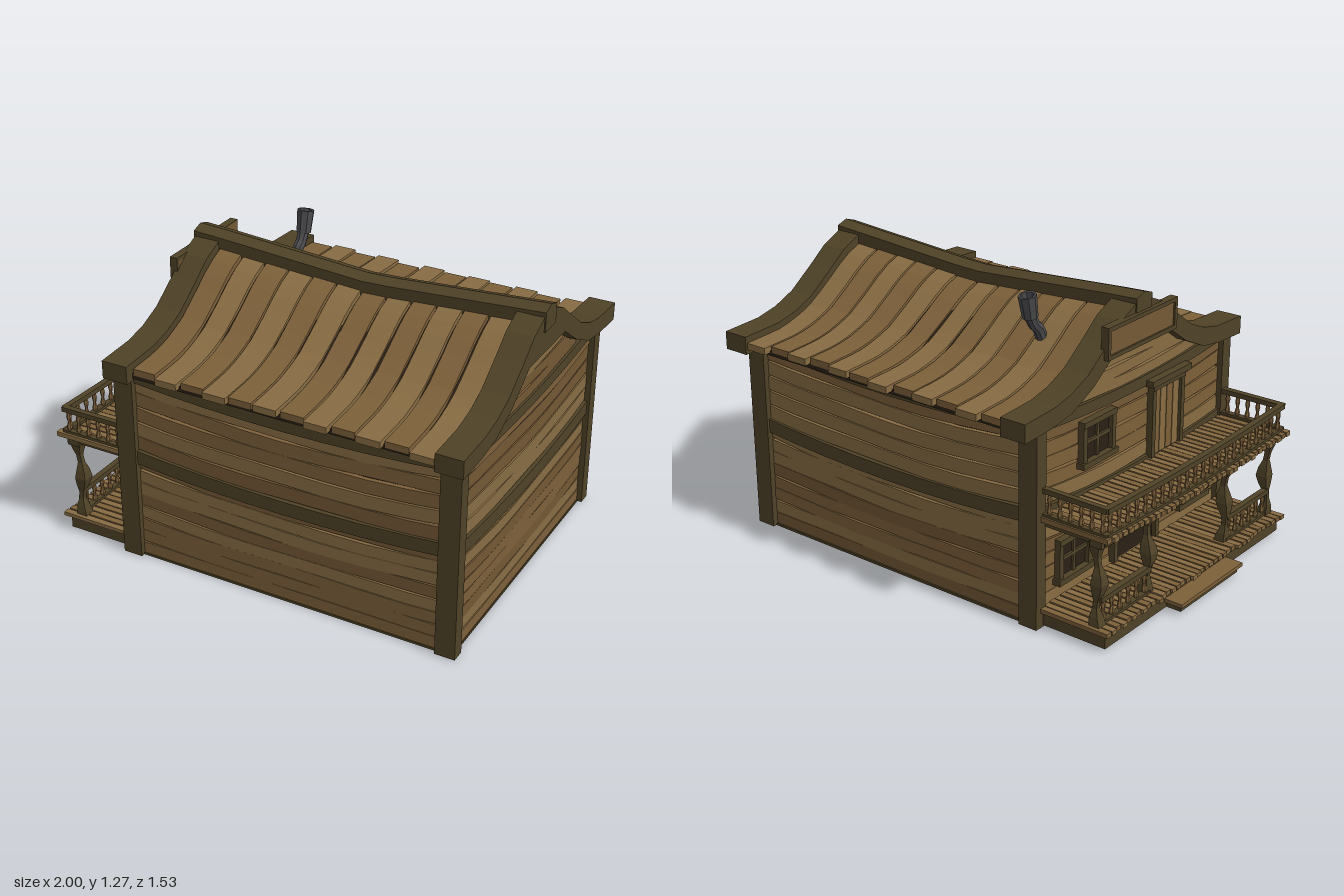
import * as THREE from 'three';

const mat = (color, side = THREE.FrontSide) => new THREE.MeshStandardMaterial({ color, flatShading: true, side });
const PLANKS = [mat(0x7d603a), mat(0x886c43), mat(0x745835)];
const BEAM = mat(0x4f4227), DARK = mat(0x2a2116), IRON = mat(0x4a4a4e, THREE.DoubleSide);

let seed = 7;
const rnd = () => ((seed = (seed * 16807) % 2147483647) / 2147483647);
const jitter = (a) => (rnd() - 0.5) * 2 * a;
const woods = () => PLANKS[Math.floor(rnd() * 2.5)];

// House extents
const X0 = -0.61, X1 = 0.97, Z0 = -0.66, Z1 = 0.73, XC = 0.18, ZC = 0.035;

// Eave-to-ridge curves as [distance from ridge, height]
const ROOF_TOP = [[0.765, 0.943], [0.575, 0.952], [0.47, 0.975], [0.365, 1.02], [0.24, 1.11], [0.15, 1.18], [0.05, 1.225]];
const ROOF_UNDER = [[0.765, 0.863], [0.6, 0.87], [0.47, 0.89], [0.33, 0.955], [0.18, 1.06]];
function sample(curve, d) {
  const i = Math.max(1, curve.findIndex((p) => p[0] <= d));
  const k = d < curve[curve.length - 1][0] ? curve.length - 1 : i;
  const [a, b] = [curve[k - 1], curve[k]];
  return a[1] + (b[1] - a[1]) * Math.min(1, Math.max(0, (d - a[0]) / (b[0] - a[0])));
}
const mirrorCurve = (c) => [...c, ...c.map(([d, y]) => [-d, y]).reverse()];
const ridgeSag = (x) => 0.055 * Math.max(0, 1 - Math.abs(x - 0.21) / 0.82);

function add(parent, geo, material, name, x = 0, y = 0, z = 0) {
  const m = new THREE.Mesh(geo, material);
  m.name = name;
  m.position.set(x, y, z);
  parent.add(m);
  return m;
}
// Box given by its limits, optionally subdivided and bent by a rule
function box(parent, name, material, [x0, x1], [y0, y1], [z0, z1], seg = [1, 1, 1], bend) {
  const g = new THREE.BoxGeometry(x1 - x0, y1 - y0, z1 - z0, ...seg);
  g.translate((x0 + x1) / 2, (y0 + y1) / 2, (z0 + z1) / 2);
  if (bend) {
    const p = g.attributes.position, v = new THREE.Vector3();
    for (let i = 0; i < p.count; i++) {
      bend(v.fromBufferAttribute(p, i));
      p.setXYZ(i, v.x, v.y, v.z);
    }
    g.computeVertexNormals();
  }
  return add(parent, g, material, name);
}
// Outline in (z, y) extruded from x0 to x1
function extrudeX(parent, name, material, pts, x0, x1) {
  const s = new THREE.Shape(pts.map(([z, y]) => new THREE.Vector2(-z, y)));
  const g = new THREE.ExtrudeGeometry(s, { depth: x1 - x0, bevelEnabled: false });
  g.rotateY(Math.PI / 2);
  return add(parent, g, material, name, x0);
}

function walls(house) {
  const g = new THREE.Group();
  g.name = 'walls';
  house.add(g);
  // Dark core showing through the gaps
  extrudeX(g, 'wallCore', DARK, [[Z1 - 0.045, 0.012], [Z1 - 0.045, 0.87], [0.5, 0.9], [0.22, 1.06], [-0.22, 1.06], [-0.5, 0.9], [Z0 + 0.045, 0.87], [Z0 + 0.045, 0.012]], X0 + 0.045, X1 - 0.045);
  box(g, 'foundation', BEAM, [X0 + 0.02, X1 - 0.02], [0.003, 0.014], [Z0 + 0.02, Z1 - 0.02]);
  for (const x of [[X0, X0 + 0.09], [X1 - 0.09, X1]])
    for (const z of [[Z0, Z0 + 0.06], [Z1 - 0.06, Z1]]) box(g, 'cornerPost', BEAM, x, [0.005, 0.88], z);

  const sides = [
    { along: 'x', at: Z1 - 0.025, out: 1 }, { along: 'x', at: Z0 + 0.025, out: -1 },
    { along: 'z', at: X1 - 0.025, out: 1 }, { along: 'z', at: X0 + 0.025, out: -1 },
  ];
  for (const { along, at, out } of sides) {
    const isX = along === 'x', c = isX ? XC : ZC, half = isX ? 0.74 : 0.66;
    const strip = (name, material, y0, y1, proud, hw, wobble) => {
      const sagging = 0.035 * Math.min(1, y0 / 0.4);
      const ph = rnd() * 6, depth = [at - out * 0.025, at + out * proud].sort((a, b) => a - b);
      const len = [c - hw, c + hw];
      box(g, name, material, isX ? len : depth, [y0, y1], isX ? depth : len, isX ? [8, 1, 1] : [1, 1, 8], (v) => {
        const t = (v[along] - c) / half;
        v.y -= sagging * (1 - t * t) + (wobble ? 0.004 * Math.sin(t * 5 + ph) * Math.min(1, y0 * 8) : 0);
      });
    };
    for (let i = 0; i < 8; i++) strip('wallPlank', woods(), 0.012 + i * 0.0605, 0.067 + i * 0.0605, jitter(0.002), half, true);
    for (let i = 0; i < 5; i++) strip('wallPlank', woods(), 0.53 + i * 0.069, 0.592 + i * 0.069, jitter(0.002), half, true);
    strip('middleBeam', BEAM, 0.465, 0.527, 0.013, half, false);
    strip('topBeam', BEAM, 0.85, 0.9, 0.01, half, false);
    // Gable boards tuck behind the bargeboard
    if (!isX) for (let i = 0; i < 4; i++) {
      const y = 0.9 + i * 0.053;
      strip('gablePlank', woods(), y, y + 0.048, 0, [0.47, 0.4, 0.31, 0.25][i], true);
    }
  }
}

function roof(house) {
  const g = new THREE.Group();
  g.name = 'roof';
  house.add(g);
  // Curved bargeboards at both gables
  const outline = [...mirrorCurve(ROOF_TOP), ...mirrorCurve(ROOF_UNDER).reverse()];
  for (const [a, b] of [[-0.635, -0.515], [0.87, 0.99]]) extrudeX(g, 'bargeboard', BEAM, outline, a, b);

  // A roof layer follows the curve from ridge to eave on one side
  const layer = (name, material, x, s, reach, drop, thick, seg) =>
    box(g, name, material, x, [0, thick], [0, 1], [seg, 1, 12], (v) => {
      const d = reach * (s > 0 ? v.z : 1 - v.z);
      const y = sample(ROOF_TOP, d) - drop;
      v.set(v.x, v.y + y - ridgeSag(v.x) * Math.max(0, y - 0.9) / 0.3, s * d);
    });
  const pitch = 1.385 / 12;
  for (const s of [-1, 1]) {
    layer('roofLining', DARK, [-0.53, 0.89], s, 0.725, 0.072, 0.022, 8);
    for (let i = 0; i < 12; i++) {
      const x = -0.513 + i * pitch;
      layer('roofPlank', PLANKS[i % 2], [x + 0.004 + rnd() * 0.004, x + pitch - 0.003 - rnd() * 0.004], s,
        (i % 2 ? 0.755 : 0.735) + jitter(0.008), 0.056 + jitter(0.004), 0.03, 1);
    }
  }
  // Sagging, chamfered ridge beam
  box(g, 'ridgeBeam', BEAM, [-0.64, 0.995], [1.16, 1.265], [-0.054, 0.054], [12, 1, 2], (v) => {
    if (v.y > 1.2 && Math.abs(v.z) > 0.01) v.y -= 0.018;
    v.y -= ridgeSag(v.x);
  });
  // Bent stove pipe
  const pipe = new THREE.CatmullRomCurve3([[1.04, -0.235], [1.11, -0.265], [1.135, -0.295], [1.18, -0.318]].map(([y, z]) => new THREE.Vector3(-0.31, y, z)));
  add(g, new THREE.TubeGeometry(pipe, 6, 0.025, 8), IRON, 'stovePipe');
  const cap = [[0.02, -0.05], [0.033, -0.05], [0.039, 0.05], [0.029, 0.05], [0.024, -0.02], [0, -0.02]].map((p) => new THREE.Vector2(...p));
  add(g, new THREE.LatheGeometry(cap, 8), IRON, 'chimneyCap', -0.31, 1.22, -0.328).rotation.x = -0.2;
}

const PZ0 = -0.635, PZ1 = 0.715;
const porchSag = (z) => 0.018 * (1 - ((z - 0.04) / 0.675) ** 2);

// Railing along x or z, with turned balusters
function railing(parent, along, from, to, at, y, n, sag) {
  const profile = [[0.007, 0], [0.012, 0.02], [0.006, 0.045], [0.011, 0.07], [0.006, 0.1]].map((p) => new THREE.Vector2(...p));
  const bal = new THREE.LatheGeometry(profile, 6), isX = along === 'x';
  const side = [at - 0.014, at + 0.014];
  const drop = (z) => (sag ? porchSag(z) : 0);
  for (const [a, b] of [[0, 0.012], [0.1, 0.122]])
    box(parent, 'handrail', BEAM, isX ? [from, to] : side, [y + a, y + b], isX ? side : [from, to], isX ? [1, 1, 1] : [1, 1, 8], (v) => { v.y -= drop(v.z); });
  for (let i = 0; i < n; i++) {
    const t = from + ((i + 0.5) / n) * (to - from), z = isX ? at : t;
    add(parent, bal, PLANKS[0], 'baluster', isX ? t : at, y + 0.005 - drop(z), z);
  }
}

function porch(house) {
  const g = new THREE.Group();
  g.name = 'porch';
  house.add(g);
  box(g, 'porchBase', BEAM, [-0.915, -0.6], [0.012, 0.075], [PZ0 + 0.02, PZ1 - 0.02]);
  box(g, 'balconyCore', BEAM, [-0.9, -0.6], [0.45, 0.478], [PZ0 + 0.03, PZ1 - 0.03], [1, 1, 8], (v) => { v.y -= porchSag(v.z); });
  const n = 38, w = (PZ1 - PZ0) / n;
  for (let i = 0; i < n; i++) {
    const z = PZ0 + i * w, zs = [z + 0.003, z + w - 0.003], d = porchSag(z);
    box(g, 'porchBoard', PLANKS[i % 2], [-0.935 + jitter(0.008), -0.6], [0.073, 0.092 + jitter(0.002)], zs);
    box(g, 'balconyBoard', PLANKS[i % 2], [-0.935 + jitter(0.008), -0.6], [0.478 - d, 0.498 - d + jitter(0.002)], zs);
  }
  box(g, 'balconyBeam', BEAM, [-0.895, -0.84], [0.445, 0.48], [PZ0 + 0.01, PZ1 - 0.01], [1, 1, 8], (v) => { v.y -= porchSag(v.z); });
  box(g, 'step', PLANKS[0], [-1, -0.9], [0.038, 0.055], [-0.2, 0.265]);
  box(g, 'stepBase', BEAM, [-0.985, -0.9], [0.012, 0.038], [-0.185, 0.25]);

  // Crooked carved posts
  const posts = [-0.59, -0.25, 0.33, 0.67];
  posts.forEach((z, k) => box(g, 'porchPost', BEAM, [-0.025, 0.025], [0.09, 0.46], [-0.025, 0.025], [1, 10, 1], (v) => {
    const t = (v.y - 0.09) / 0.37, s = 0.72 + 0.35 * Math.cos(t * Math.PI * 4) * (t > 0.15 ? 1 : 0.8);
    v.set(-0.858 + v.x * s + 0.008 * Math.sin(t * 9 + k), v.y, z + v.z * s);
  }));
  railing(g, 'z', posts[0], posts[1], -0.865, 0.092, 6, false);
  railing(g, 'z', posts[2], posts[3], -0.865, 0.092, 6, false);
  railing(g, 'z', PZ0 + 0.02, PZ1 - 0.02, -0.905, 0.5, 22, true);
  for (const z of [PZ0 + 0.025, PZ1 - 0.025]) railing(g, 'x', -0.915, -0.61, z, 0.5, 6, true);
}

// Framed opening on the porch wall
function frame(parent, name, y0, y1, z0, z1, t = 0.025) {
  const x = [-0.614, -0.58];
  box(parent, name + 'Jamb', BEAM, x, [y0, y1], [z0, z0 + t]);
  box(parent, name + 'Jamb', BEAM, x, [y0, y1], [z1 - t, z1]);
  box(parent, name + 'Head', BEAM, [-0.618, -0.58], [y1 - t, y1], [z0, z1]);
  box(parent, name + 'Recess', DARK, [-0.594, -0.57], [y0, y1 - 0.01], [z0 + 0.01, z1 - 0.01]);
}
function windowUnit(parent, y, z) {
  frame(parent, 'window', y - 0.095, y + 0.095, z - 0.11, z + 0.11);
  box(parent, 'windowSill', BEAM, [-0.622, -0.58], [y - 0.105, y - 0.08], [z - 0.12, z + 0.12]);
  box(parent, 'windowBar', BEAM, [-0.604, -0.58], [y - 0.09, y + 0.08], [z - 0.008, z + 0.008]);
  box(parent, 'windowBar', BEAM, [-0.604, -0.58], [y - 0.008, y + 0.008], [z - 0.1, z + 0.1]);
}
function facade(house) {
  const g = new THREE.Group();
  g.name = 'facade';
  house.add(g);
  windowUnit(g, 0.71, -0.25);
  windowUnit(g, 0.25, -0.4);
  windowUnit(g, 0.25, 0.47);
  // Balcony door with plank leaf
  frame(g, 'balconyDoor', 0.48, 0.81, 0.125, 0.365);
  for (let i = 0; i < 4; i++) box(g, 'doorPlank', PLANKS[i % 2], [-0.602, -0.58], [0.485, 0.785], [0.152 + i * 0.047, 0.195 + i * 0.047]);
  box(g, 'doorLintel', BEAM, [-0.63, -0.58], [0.81, 0.838], [0.1, 0.39]);
  // Open entrance
  frame(g, 'entrance', 0.09, 0.345, -0.13, 0.2);
  box(g, 'entranceLintel', BEAM, [-0.63, -0.58], [0.335, 0.37], [-0.155, 0.225]);
  // Blank board on the gable
  box(g, 'gableBoard', PLANKS[2], [-0.648, -0.62], [1.05, 1.18], [-0.26, 0.215]);
  for (const y of [[1.048, 1.066], [1.168, 1.186]]) box(g, 'gableBoardTrim', BEAM, [-0.656, -0.62], y, [-0.265, 0.22]);
  for (const z of [[-0.265, -0.247], [0.202, 0.22]]) box(g, 'gableBoardTrim', BEAM, [-0.656, -0.62], [1.05, 1.186], z);
}

export function createModel() {
  const house = new THREE.Group();
  house.name = 'timberHouse';
  for (const build of [walls, roof, porch, facade]) build(house);
  house.position.y = -0.003;
  return house;
}
